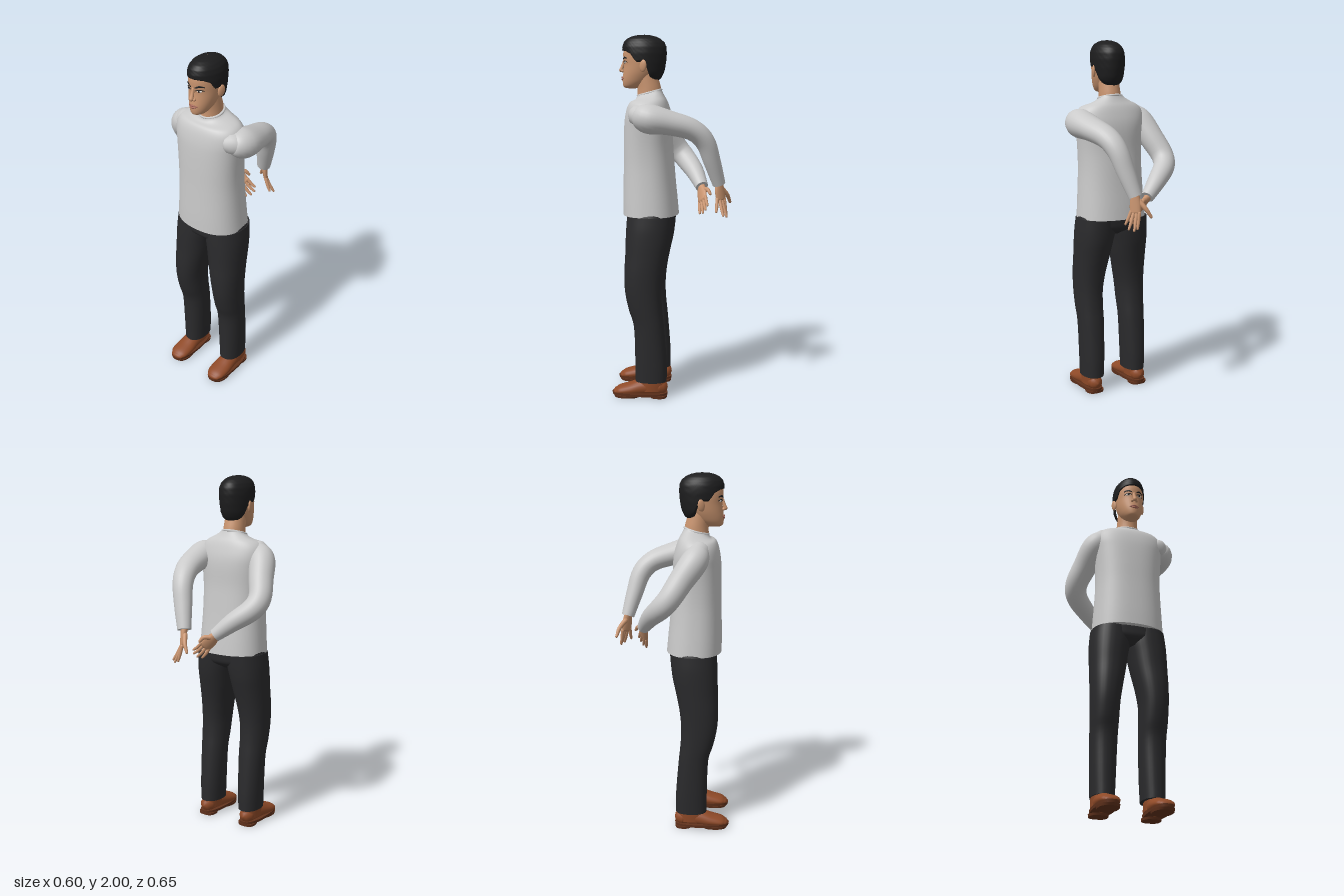
import * as THREE from 'three';

const mat = (name, color) => Object.assign(new THREE.MeshStandardMaterial({ color }), { name });
const V = (x, y, z) => new THREE.Vector3(x, y, z);
const CX = 0.022; // body midline

// Skin over rows of closed rings, smooth normals
function skinRows(rows) {
  const n = rows[0].length, idx = [], pos = [];
  rows.forEach(r => r.forEach(p => pos.push(p.x, p.y, p.z)));
  for (let i = 0; i < rows.length - 1; i++) for (let j = 0; j < n; j++) {
    const a = i * n + j, b = i * n + (j + 1) % n;
    idx.push(a, b, b + n, a, b + n, a + n);
  }
  const g = new THREE.BufferGeometry();
  g.setAttribute('position', new THREE.Float32BufferAttribute(pos, 3));
  g.setIndex(idx);
  g.computeVertexNormals();
  return g;
}

const spline = pts => new THREE.CatmullRomCurve3(pts, false, 'catmullrom', 0.5);
const closeEnd = ring => {
  const c = ring.reduce((s, p) => s.add(p), V(0, 0, 0)).divideScalar(ring.length);
  return ring.map(() => c.clone());
};

// Vertical loft; each row is [y, centreX, halfWidth, zBack, zFront]
function loft(table, seg = 36, sub = 4, power = 1) {
  const A = spline(table.map(r => V(r[0], r[1], r[2])));
  const B = spline(table.map(r => V(r[3], r[4], 0)));
  const n = (table.length - 1) * sub, rows = [];
  const bend = v => Math.sign(v) * Math.abs(v) ** power;
  for (let i = 0; i <= n; i++) {
    const a = A.getPoint(i / n), b = B.getPoint(i / n);
    rows.push(Array.from({ length: seg }, (_, j) => {
      const t = j / seg * Math.PI * 2;
      return V(a.y + a.z * bend(Math.sin(t)), a.x, (b.x + b.y) / 2 + (b.y - b.x) / 2 * bend(Math.cos(t)));
    }));
  }
  const lo = rows[0], hi = rows[n];
  return skinRows([closeEnd(lo), lo, lo, ...rows, hi, hi, closeEnd(hi)]);
}

// Limb along a path; points are [x, y, z, radius along side, other radius]
function sweep(points, side, { seg = 20, sub = 5, startRound = true, endRound = true } = {}) {
  const P = spline(points.map(p => V(p[0], p[1], p[2])));
  const R = spline(points.map(p => V(p[3], p[4] ?? p[3], 0)));
  const n = (points.length - 1) * sub, rows = [];
  const ring = (u, k, push) => {
    const T = P.getTangent(u), N = side.clone().addScaledVector(T, -side.dot(T)).normalize();
    const B = T.clone().cross(N), r = R.getPoint(u), c = P.getPoint(u).addScaledVector(T, push * Math.min(r.x, r.y));
    rows.push(Array.from({ length: seg }, (_, j) => {
      const t = j / seg * Math.PI * 2;
      return c.clone().addScaledVector(N, Math.cos(t) * r.x * k).addScaledVector(B, Math.sin(t) * r.y * k);
    }));
  };
  const cap = (u, dir, round) => [0, 1, 2, 3].forEach(q => {
    const a = (dir < 0 ? q : 3 - q) * Math.PI / 6;
    if (round) ring(u, Math.sin(a), dir * Math.cos(a));
    else ring(u, (dir < 0 ? q > 0 : q < 3) ? 1 : 0, 0);
  });
  cap(0, -1, startRound);
  for (let i = 0; i <= n; i++) ring(i / n, 1, 0);
  cap(1, 1, endRound);
  return skinRows(rows);
}

const lerpTable = (table, x) => {
  let i = 1;
  while (i < table.length - 1 && table[i][0] < x) i++;
  const a = table[i - 1], b = table[i], k = THREE.MathUtils.clamp((x - a[0]) / (b[0] - a[0]), 0, 1);
  return a.map((v, q) => v + (b[q] - v) * k);
};

export function createModel() {
  const skin = mat('skin', 0xc9946f), hairM = mat('hair', 0x1d1d1e), cloth = mat('sweater', 0xcacaca);
  const pants = mat('trousers', 0x2a2a2c), leather = mat('leather', 0x8f4a28), soleM = mat('sole', 0x63331d);
  const lipM = mat('lips', 0xa8695a), white = mat('eyeWhite', 0xd8d4ce), dark = mat('iris', 0x241a16);
  const model = new THREE.Group();
  const add = (name, geo, m, parent = model) => {
    const mesh = new THREE.Mesh(geo, m);
    mesh.name = name;
    parent.add(mesh);
    return mesh;
  };
  const ball = (name, m, p, s) => {
    const b = add(name, new THREE.SphereGeometry(1, 20, 14), m);
    b.position.set(...p);
    b.scale.set(...s);
    return b;
  };

  // Sweater body, neckline lowered at the front
  const torso = loft([
    [1.02, CX, .198, -.037, .27], [1.1, CX, .193, -.03, .27], [1.2, CX, .187, -.02, .268], [1.3, CX, .183, -.012, .266],
    [1.4, CX, .185, -.005, .265], [1.5, CX, .193, -.004, .262], [1.56, CX, .2, .002, .256], [1.61, CX, .193, .015, .244],
    [1.645, CX, .165, .028, .226], [1.67, CX, .115, .042, .207], [1.69, CX, .08, .052, .196], [1.705, CX, .066, .058, .19],
  ], 48, 4, .86);
  const tp = torso.attributes.position;
  for (let i = 0; i < tp.count; i++) {
    const k = THREE.MathUtils.smoothstep(tp.getY(i), 1.63, 1.7);
    tp.setY(i, tp.getY(i) - k * Math.max(0, tp.getZ(i) - .08) * .28);
  }
  torso.computeVertexNormals();
  add('sweaterBody', torso, cloth);
  const collar = add('collar', new THREE.TorusGeometry(.066, .007, 10, 40), cloth);
  collar.position.set(CX, 1.688, .124);
  collar.rotation.x = Math.PI / 2 + .26;

  // Sleeves, both reaching behind the back
  add('leftSleeve', sweep([
    [.185, 1.57, .165, .062, .058], [.212, 1.555, .11, .086, .08], [.2, 1.533, 0, .078, .066], [.17, 1.495, -.12, .066, .058],
    [.145, 1.43, -.187, .058, .054], [.115, 1.32, -.225, .051, .047], [.08, 1.195, -.262, .039, .036],
  ], V(1, 0, 0), { seg: 28, endRound: false }), cloth);
  add('rightSleeve', sweep([
    [-.125, 1.59, .14, .062], [-.168, 1.545, .115, .074], [-.207, 1.455, .05, .068], [-.24, 1.365, -.01, .063],
    [-.222, 1.305, -.06, .06], [-.14, 1.238, -.118, .051], [-.052, 1.162, -.163, .036],
  ], V(0, -.6, .8), { seg: 28, endRound: false }), cloth);

  // Hands: flat palm, four fingers spread between two knuckles, thumb
  function hand(name, wrist, index, pinky, tips, thumb) {
    const g = new THREE.Group();
    g.name = name;
    model.add(g);
    const w = V(...wrist), a = V(...index), b = V(...pinky), side = a.clone().sub(b);
    const mid = a.clone().lerp(b, .5), half = side.length() / 2 + .007;
    side.normalize();
    const m = w.clone().lerp(mid, .5);
    add('palm', sweep([[...w, .022, .02], [...m, half, .016], [...mid, half, .012]], side, { seg: 16 }), skin, g);
    tips.forEach((t, i) => {
      const k = a.clone().lerp(b, i / 3), e = V(...t), bend = k.clone().lerp(e, .5).addScaledVector(V(0, -1, 0), .004);
      add('finger', sweep([[...k, .0095], [...bend, .009], [...e.lerp(k, .08), .0065]], side, { seg: 10 }), skin, g);
    });
    add('thumb', sweep(thumb.map((p, i) => [...p, [.015, .012, .008][i]]), V(.3, .5, .8), { seg: 10 }), skin, g);
  }
  hand('leftHand', [.08, 1.205, -.26], [.073, 1.11, -.292], [.102, 1.115, -.254],
    [[.093, 1.02, -.305], [.115, 1.012, -.308], [.139, 1.02, -.29], [.137, 1.042, -.25]],
    [[.066, 1.17, -.275], [.042, 1.13, -.307], [.018, 1.088, -.322]]);
  hand('rightHand', [-.06, 1.165, -.16], [.022, 1.115, -.186], [-.002, 1.075, -.152],
    [[.07, 1.07, -.2], [.076, 1.046, -.19], [.064, 1.026, -.175], [.043, 1.02, -.156]],
    [[-.03, 1.15, -.175], [-.003, 1.15, -.198], [.014, 1.13, -.212]]);

  // Trousers: hips plus a leg per side, rows are [y, inner, outer, zBack, zFront]
  add('hips', loft([[.925, CX, .1, .05, .2], [.96, CX, .185, -.005, .238], [1, CX, .206, -.016, .242], [1.035, CX, .196, -.018, .24]], 40, 4, .86), pants);
  const leg = [
    [.09, .074, .196, .02, .195], [.2, .069, .2, .02, .196], [.4, .062, .205, .035, .202], [.5, .06, .209, .045, .23],
    [.6, .056, .212, .048, .25], [.7, .04, .214, .038, .255], [.8, .02, .214, .018, .25], [.88, .006, .214, 0, .248],
    [.95, -.008, .212, -.01, .245], [1.02, -.01, .205, -.016, .24],
  ];
  for (const s of [-1, 1]) {
    const tag = s > 0 ? 'left' : 'right', x = CX + s * .142;
    add(tag + 'Leg', loft(leg.map(([y, i, o, b, f]) => [y, CX + s * (i + o) / 2, (o - i) / 2, b, f]), 32, 4, .9), pants);

    // Shoe
    add(tag + 'ShoeUpper', sweep([
      [x, .058, .055, .042, .044], [x, .06, .1, .046, .048], [x, .055, .16, .05, .046], [x, .044, .22, .056, .036],
      [x, .036, .275, .053, .027], [x, .03, .3, .04, .018],
    ], V(1, 0, 0), { seg: 24 }), leather);
    add(tag + 'ShoeCollar', loft([[.04, x, .048, .022, .2], [.08, x, .05, .022, .19], [.115, x, .05, .03, .17]], 24), leather);
    add(tag + 'Welt', loft([[.012, x, .058, .017, .322], [.028, x, .06, .015, .325]], 36, 1, .8), soleM);
    add(tag + 'Heel', loft([[0, x, .05, .018, .11], [.014, x, .052, .016, .115]], 24, 1, .75), soleM);
    add(tag + 'Tread', loft([[0, x, .054, .17, .312], [.014, x, .057, .15, .32]], 24, 1, .85), soleM);
  }

  // Neck and head
  add('neck', loft([[1.62, CX, .062, .05, .195], [1.7, CX, .06, .058, .19], [1.75, CX, .058, .07, .195], [1.8, CX, .056, .085, .2]], 28), skin);
  const head = [
    [1.712, CX, .016, .19, .25], [1.721, CX, .036, .165, .266], [1.742, CX, .052, .13, .271], [1.768, CX, .063, .105, .271],
    [1.8, CX, .072, .085, .267], [1.84, CX, .078, .068, .263], [1.875, CX, .081, .052, .267], [1.91, CX, .081, .045, .266],
    [1.95, CX, .073, .052, .252], [1.98, CX, .045, .09, .21],
  ];
  add('head', loft(head, 40), skin);
  const faceZ = (dx, y) => {
    const [, , rx, zb, zf] = lerpTable(head, y);
    return (zb + zf) / 2 + (zf - zb) / 2 * Math.sqrt(1 - (dx / rx) ** 2);
  };
  const onFace = (dx, y, out = 0) => [CX + dx, y, faceZ(dx, y) + out];

  // Face details
  add('nose', sweep([[CX, 1.862, .262, .007], [CX, 1.835, .27, .009], [CX, 1.81, .28, .012, .011]], V(1, 0, 0), { seg: 14 }), skin);
  add('upperLip', sweep([[...onFace(-.026, 1.768), .002], [...onFace(0, 1.771, .003), .005], [...onFace(.026, 1.768), .002]], V(0, 1, 0), { seg: 10 }), lipM);
  add('lowerLip', sweep([[...onFace(-.022, 1.764), .002], [...onFace(0, 1.76, .002), .006], [...onFace(.022, 1.764), .002]], V(0, 1, 0), { seg: 10 }), lipM);
  for (const s of [-1, 1]) {
    ball('nostril', skin, [CX + s * .012, 1.806, .269], [.008, .008, .01]);
    ball('eye', white, onFace(s * .033, 1.852, -.001), [.014, .0065, .005]).rotation.y = s * .35;
    ball('iris', dark, onFace(s * .032, 1.852, .002), [.006, .006, .003]).rotation.y = s * .35;
    const line = (y0, y1, y2, r) => sweep([[.015, y0], [.034, y1], [.053, y2]].map(([d, y], i) =>
      [...onFace(s * d, y, .001), r * (i === 1 ? 1 : .6), .0025]), V(0, 1, 0), { seg: 8 });
    add('upperLid', line(1.853, 1.86, 1.853, .0025), hairM);
    add('eyebrow', line(1.869, 1.878, 1.874, .005), hairM);
    const ear = ball('ear', skin, [CX + s * .086, 1.833, .15], [.009, .033, .02]);
    ear.rotation.set(-.15, s * -.35, s * -.1);
  }

  // Hair cap with a hairline that drops behind the ears
  const shell = [
    [1.74, CX, .058, .076, .2], [1.775, CX, .072, .056, .24], [1.8, CX, .081, .043, .255], [1.85, CX, .087, .033, .266],
    [1.9, CX, .0895, .028, .271], [1.935, CX, .086, .03, .272], [1.96, CX, .077, .042, .264], [1.978, CX, .063, .063, .247],
    [1.99, CX, .045, .088, .222], [1.997, CX, .025, .118, .195], [2, CX, .001, .15, .152],
  ];
  const hairline = [[0, 1.912], [.6, 1.908], [.95, 1.893], [1.2, 1.85], [1.5, 1.85], [1.72, 1.83], [1.95, 1.775], [2.4, 1.757], [Math.PI, 1.752]];
  const rows = [];
  for (let i = 0; i <= 36; i++) rows.push(Array.from({ length: 72 }, (_, j) => {
    const t = (j / 72) * Math.PI * 2, low = lerpTable(hairline, Math.min(t, Math.PI * 2 - t))[1];
    const y = 2 - (2 - low) * (1 - i / 36) ** 2, [, , rx, zb, zf] = lerpTable(shell, y);
    const tuft = i === 0 ? .86 : 1 + .012 * Math.sin(t * 11 + i * .9) * Math.sin(i * .7 + t * 5);
    return V(CX + rx * tuft * Math.sin(t), y, (zb + zf) / 2 + (zf - zb) / 2 * tuft * Math.cos(t));
  }));
  add('hair', skinRows(rows), hairM);
  return model;
}
